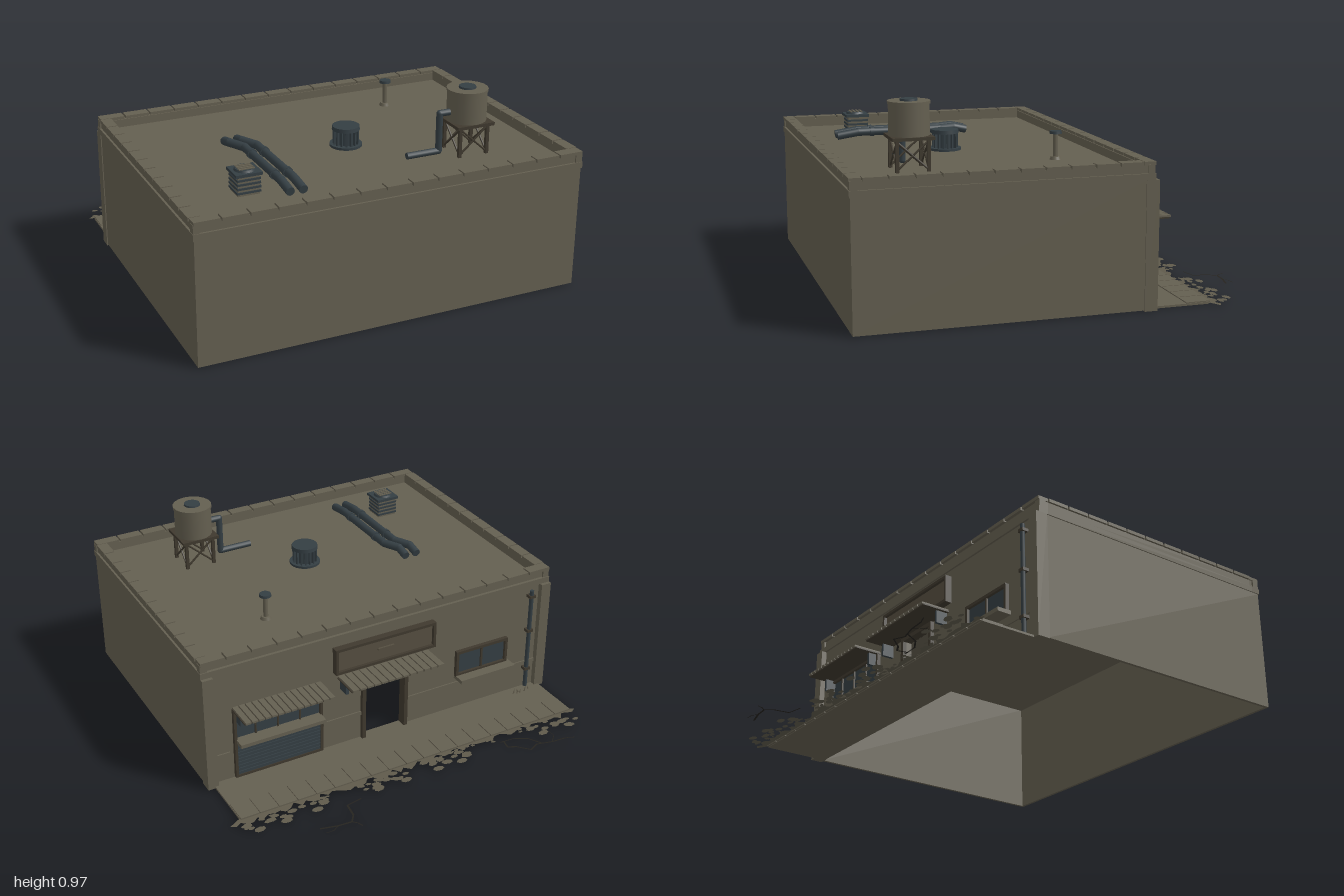
import * as THREE from 'three';

const mat = (name, color, side = THREE.FrontSide) => {
  const m = new THREE.MeshStandardMaterial({ color, side });
  m.name = name;
  return m;
};

export function createModel() {
  const root = new THREE.Group();
  root.name = 'shopBuilding';
  const wall = mat('olive concrete', 0x645f50);
  const steel = mat('blue grey metal', 0x343e43);
  const wood = mat('dark brown', 0x3f392e);
  const panel = mat('faded panel', 0x554e40);
  const plant = mat('dry weeds', 0x5f5a4b, THREE.DoubleSide);
  const black = mat('crack black', 0x25231e, THREE.DoubleSide);

  let seed = 11;
  const rnd = () => (seed = (seed * 16807) % 2147483647) / 2147483647;

  const add = (name, geo, m, x = 0, y = 0, z = 0, parent = root) => {
    const mesh = new THREE.Mesh(geo, m);
    mesh.name = name;
    mesh.position.set(x, y, z);
    parent.add(mesh);
    return mesh;
  };
  // Box from its min and max along each axis
  const box = (name, m, x0, x1, y0, y1, z0, z1) =>
    add(name, new THREE.BoxGeometry(x1 - x0, y1 - y0, z1 - z0), m, (x0 + x1) / 2, (y0 + y1) / 2, (z0 + z1) / 2);
  const cyl = (name, m, r0, r1, x, z, y0, y1, n = 20) =>
    add(name, new THREE.CylinderGeometry(r1, r0, y1 - y0, n), m, x, (y0 + y1) / 2, z);
  // Straight rod between two points
  const rod = (name, m, r, a, b, n = 12) => {
    const p = new THREE.Vector3(...a), q = new THREE.Vector3(...b), d = q.clone().sub(p);
    const mesh = add(name, new THREE.CylinderGeometry(r, r, d.length(), n), m, ...p.clone().add(q).multiplyScalar(0.5).toArray());
    mesh.quaternion.setFromUnitVectors(new THREE.Vector3(0, 1, 0), d.normalize());
  };
  const pipe = (name, r, pts) => {
    for (let i = 1; i < pts.length; i++) {
      rod(name, steel, r, pts[i - 1], pts[i]);
      if (i < pts.length - 1) add(name + 'Elbow', new THREE.SphereGeometry(r, 12, 8), steel, ...pts[i]);
    }
  };
  // Rectangular ring lying flat
  const ring = (name, m, x0, x1, y0, y1, z0, z1, t) => {
    box(name, m, x0, x1, y0, y1, z0, z0 + t);
    box(name, m, x0, x1, y0, y1, z1 - t, z1);
    box(name, m, x0, x0 + t, y0, y1, z0 + t, z1 - t);
    box(name, m, x1 - t, x1, y0, y1, z0 + t, z1 - t);
  };
  // Upright frame on the shop front
  const frame = (name, m, x0, x1, y0, y1, z0, z1, t) => {
    box(name, m, x0, x1, y1 - t, y1, z0, z1);
    box(name, m, x0, x1, y0, y0 + t, z0, z1);
    box(name, m, x0, x0 + t, y0 + t, y1 - t, z0, z1);
    box(name, m, x1 - t, x1, y0 + t, y1 - t, z0, z1);
  };

  // Open-bottomed shell: three plain walls and a shop front with a doorway
  box('sideWall', wall, -0.98, -0.965, 0.005, 0.61, -0.36, 0.99);
  box('sideWall', wall, 0.93, 0.945, 0.005, 0.61, -0.36, 0.99);
  box('plainWall', wall, -0.965, 0.93, 0.005, 0.61, 0.975, 0.99);
  const face = new THREE.Shape([[-0.98, 0.005], [-0.13, 0.005], [-0.13, 0.37], [0.09, 0.37], [0.09, 0.005],
    [0.945, 0.005], [0.945, 0.61], [-0.98, 0.61]].map(p => new THREE.Vector2(...p)));
  add('shopFront', new THREE.ExtrudeGeometry(face, { depth: 0.03, bevelEnabled: false }), wall, 0, 0, -0.39);
  box('roofDeck', wall, -0.965, 0.93, 0.6, 0.64, -0.375, 0.975);

  // Cornice, parapet and separate coping stones
  ring('cornice', wall, -0.985, 0.95, 0.61, 0.64, -0.4, 0.995, 0.05);
  ring('parapet', wall, -0.975, 0.94, 0.64, 0.68, -0.385, 0.985, 0.045);
  for (const x of [-0.983, 0.914]) for (const z of [-0.395, 0.958])
    box('cornerBlock', wall, x, x + 0.034, 0.64, 0.68, z, z + 0.034);
  const nx = 15, nz = 11, sx = 1.935 / nx, sz = 1.285 / nz;
  for (let i = 0; i < nx; i++) for (const z of [-0.4, 0.94])
    box('copingStone', wall, -0.985 + i * sx + 0.004, -0.985 + (i + 1) * sx - 0.004, 0.678, 0.694, z, z + 0.055);
  for (let i = 0; i < nz; i++) for (const x of [-0.985, 0.895])
    box('copingStone', wall, x, x + 0.055, 0.678, 0.694, -0.345 + i * sz + 0.004, -0.345 + (i + 1) * sz - 0.004);

  // Shop front: corner piers, band, drainpipe
  for (const x of [-0.985, 0.895]) box('cornerPier', wall, x, x + 0.055, 0, 0.61, -0.418, -0.355);
  for (const [a, b] of [[-0.93, -0.15], [0.11, 0.32], [0.82, 0.895]]) box('wallBand', wall, a, b, 0.145, 0.165, -0.397, -0.39);
  rod('drainpipe', steel, 0.011, [-0.875, 0.02, -0.41], [-0.875, 0.59, -0.41]);
  for (const y of [0.12, 0.35, 0.55]) box('pipeClamp', wood, -0.892, -0.858, y, y + 0.015, -0.423, -0.39);

  // Doorway frame
  for (const x of [-0.15, 0.09]) box('doorPost', wood, x, x + 0.02, 0.01, 0.37, -0.41, -0.36);
  box('doorLintel', wood, -0.15, 0.11, 0.37, 0.39, -0.41, -0.36);

  // Sign board
  box('signBoard', panel, -0.28, 0.25, 0.445, 0.565, -0.41, -0.39);
  frame('signFrame', wood, -0.295, 0.265, 0.435, 0.575, -0.425, -0.39, 0.014);
  box('signLampArm', panel, -0.06, 0.03, 0.505, 0.515, -0.42, -0.41);

  // Awnings made of slats
  const awning = (x0, x1, n) => {
    const s = (x1 - x0) / n;
    box('awningSheet', wood, x0, x1, 0.393, 0.4, -0.535, -0.39);
    for (let i = 0; i < n; i++) box('awningSlat', wall, x0 + i * s + 0.003, x0 + (i + 1) * s - 0.003, 0.398, 0.408, -0.543, -0.39);
    for (const x of [x0 + 0.015, x1 - 0.03]) box('awningBracket', steel, x, x + 0.015, 0.33, 0.393, -0.45, -0.39);
  };
  awning(-0.275, 0.24, 13);
  awning(0.33, 0.8, 14);

  // Small window
  box('windowGlass', steel, -0.73, -0.45, 0.215, 0.335, -0.396, -0.39);
  frame('windowFrame', wood, -0.745, -0.435, 0.205, 0.35, -0.41, -0.39, 0.015);
  box('windowBar', wood, -0.595, -0.585, 0.22, 0.335, -0.405, -0.39);
  box('windowSill', wall, -0.76, -0.435, 0.19, 0.21, -0.464, -0.39);

  // Serving window over a slatted shutter
  box('servingGlass', steel, 0.34, 0.79, 0.235, 0.38, -0.396, -0.39);
  frame('servingFrame', wood, 0.33, 0.8, 0.015, 0.392, -0.41, -0.39, 0.014);
  for (let i = 1; i < 4; i++) box('servingBar', wood, 0.33 + i * 0.1175, 0.337 + i * 0.1175, 0.235, 0.38, -0.405, -0.39);
  box('servingSill', wall, 0.34, 0.79, 0.213, 0.232, -0.462, -0.39);
  for (let i = 0; i < 10; i++) box('shutterSlat', steel, 0.344, 0.786, 0.03 + i * 0.0185, 0.045 + i * 0.0185, -0.408, -0.39);

  // Water tank on a braced stand
  const tx = 0.525, tz = 0.635;
  const legs = [[-1, -1], [1, -1], [1, 1], [-1, 1]].map(([a, b]) => [tx + a * 0.073, tz + b * 0.073]);
  legs.forEach(([x, z], i) => {
    const [u, v] = legs[(i + 1) % 4];
    box('tankLeg', wood, x - 0.008, x + 0.008, 0.64, 0.79, z - 0.008, z + 0.008);
    rod('tankBrace', wood, 0.005, [x, 0.65, z], [u, 0.78, v], 6);
    rod('tankBrace', wood, 0.005, [x, 0.78, z], [u, 0.65, v], 6);
  });
  box('tankPlatform', wood, tx - 0.098, tx + 0.098, 0.785, 0.8, tz - 0.098, tz + 0.098);
  cyl('tank', wall, 0.095, 0.095, tx, tz, 0.8, 0.955, 18);
  cyl('tankRim', wall, 0.099, 0.099, tx, tz, 0.943, 0.957, 18);
  cyl('tankLid', steel, 0.042, 0.04, tx, tz, 0.955, 0.966);
  pipe('tankPipe', 0.016, [[0.435, 0.848, tz], [0.38, 0.848, tz], [0.38, 0.66, tz], [0.21, 0.66, tz]]);

  // Round ribbed vent
  cyl('ventFlange', steel, 0.079, 0.079, 0.035, 0.34, 0.64, 0.652, 24);
  cyl('ventCore', steel, 0.05, 0.05, 0.035, 0.34, 0.65, 0.725, 24);
  cyl('ventCap', steel, 0.068, 0.066, 0.035, 0.34, 0.723, 0.742, 24);
  for (let i = 0; i < 16; i++) {
    const a = i * Math.PI / 8;
    const rib = box('ventRib', steel, 0, 0.016, 0.65, 0.725, 0, 0.008);
    rib.position.set(0.035 + Math.cos(a) * 0.056, 0.6875, 0.34 + Math.sin(a) * 0.056);
    rib.rotation.y = -a;
  }

  // Square extractor with grille
  box('extractorBody', wall, -0.67, -0.565, 0.64, 0.735, 0.61, 0.71);
  box('extractorCap', steel, -0.682, -0.555, 0.733, 0.747, 0.6, 0.722);
  for (let i = 0; i < 4; i++) box('extractorLouvre', steel, -0.674, -0.561, 0.65 + i * 0.02, 0.66 + i * 0.02, 0.606, 0.714);
  cyl('extractorFan', steel, 0.05, 0.045, -0.6185, 0.661, 0.747, 0.757);
  for (let i = 0; i < 4; i++) box('extractorGrille', wall, -0.656, -0.581, 0.757, 0.761, 0.63 + i * 0.018, 0.639 + i * 0.018);

  // Twin roof ducts
  for (const x of [-0.458, -0.394]) {
    pipe('roofDuct', 0.021, [[x, 0.664, 0.8], [x, 0.68, 0.69], [x, 0.68, 0.26], [x - 0.042, 0.68, 0.175], [x - 0.042, 0.664, 0.105]]);
    for (const z of [0.35, 0.62]) rod('ductCollar', steel, 0.025, [x, 0.68, z - 0.01], [x, 0.68, z + 0.01]);
  }

  // Small breather pipe
  cyl('breatherFoot', wall, 0.028, 0.022, 0.468, -0.088, 0.64, 0.655);
  cyl('breatherStem', wall, 0.012, 0.012, 0.468, -0.088, 0.65, 0.765);
  cyl('breatherCap', steel, 0.03, 0.028, 0.468, -0.088, 0.764, 0.777);

  // Pavement and kerb stones
  box('pavement', wall, -0.955, 0.915, 0, 0.01, -0.69, -0.36);
  for (let i = 0; i < 19; i++) {
    const s = 1.87 / 19, x = -0.955 + i * s;
    box('kerbStone', wall, x + 0.003, x + s - 0.003, 0.003, 0.015, -0.7, -0.58);
  }

  // Ragged verge with flat weed tufts
  const edge = [new THREE.Vector2(-0.94, 0.685)];
  for (let i = 0; i <= 70; i++) edge.push(new THREE.Vector2(-0.982 + i * 0.028, 0.7 + rnd() * 0.045));
  edge.push(new THREE.Vector2(0.91, 0.685));
  add('verge', new THREE.ShapeGeometry(new THREE.Shape(edge)), plant, 0, 0.008).rotation.x = -Math.PI / 2;
  const leaf = (x, z, r) => {
    const m = add('weedLeaf', new THREE.CircleGeometry(r, 7), plant, x, 0.009 + rnd() * 0.004, z);
    m.rotation.set(-Math.PI / 2, 0, rnd() * 0.6 - 0.3);
    m.scale.y = 0.6;
  };
  for (const x of [-0.87, -0.71, -0.225, -0.09, 0.09, 0.24, 0.57, 0.73, 0.865]) {
    leaf(x, -0.805, 0.03);
    for (let k = 0; k < 6; k++) leaf(x + (rnd() - 0.5) * 0.13, -0.73 - rnd() * 0.06, 0.016 + rnd() * 0.014);
  }
  for (let k = 0; k < 40; k++) leaf(-0.96 + rnd() * 1.91, -0.71 - rnd() * 0.04, 0.008 + rnd() * 0.008);
  for (let k = 0; k < 8; k++) {
    const blade = add('wallGrass', new THREE.ConeGeometry(0.005, 0.03, 4), plant, -0.9 + rnd() * 0.12, 0.022, -0.43 - rnd() * 0.015);
    blade.rotation.z = rnd() - 0.5;
  }

  // Cracks in the road, tapered ribbons
  const crack = (pts, w) => pts.slice(1).forEach(([x, z], i) => {
    const [px, pz] = pts[i], d = Math.hypot(x - px, z - pz);
    const m = add('roadCrack', new THREE.PlaneGeometry(d + w * 0.5, w * (0.6 + rnd() * 0.6)), black, (x + px) / 2, 0.003, (z + pz) / 2);
    m.rotation.set(-Math.PI / 2, 0, Math.atan2(pz - z, x - px));
  });
  crack([[-0.83, -0.9], [-0.79, -0.885], [-0.71, -0.88], [-0.63, -0.86], [-0.58, -0.885], [-0.53, -0.83], [-0.49, -0.81], [-0.5, -0.76]], 0.008);
  crack([[-0.66, -0.868], [-0.62, -0.8], [-0.56, -0.765], [-0.48, -0.762]], 0.007);
  crack([[-0.71, -0.88], [-0.75, -0.84], [-0.75, -0.8]], 0.004);
  crack([[0.35, -0.82], [0.43, -0.835], [0.44, -0.91], [0.47, -0.95], [0.54, -0.945], [0.62, -0.925]], 0.008);
  crack([[0.47, -0.95], [0.45, -0.97], [0.44, -0.998]], 0.006);
  crack([[0.54, -0.945], [0.57, -0.965], [0.61, -0.965]], 0.004);

  return root;
}
